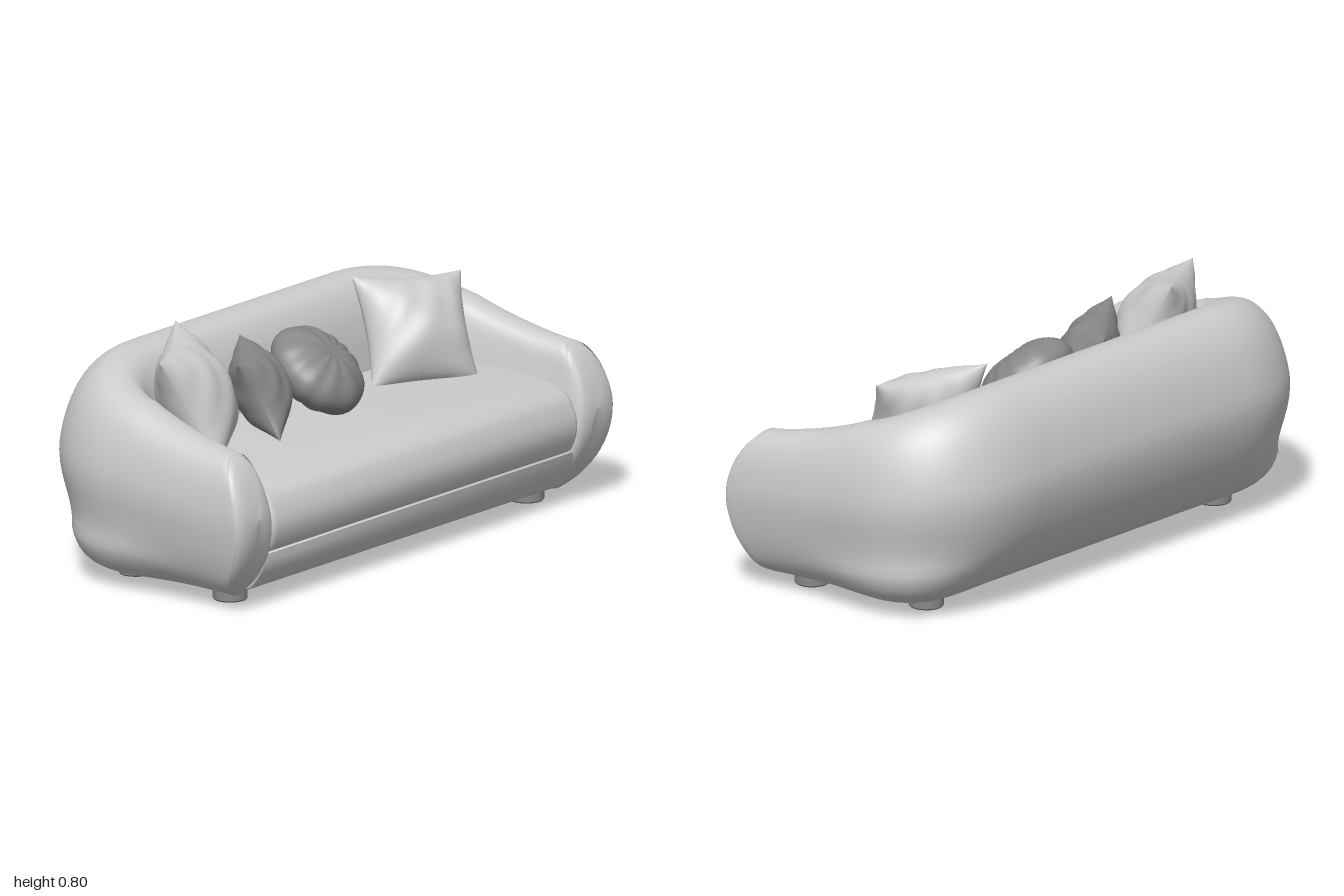
import * as THREE from 'three';
import { mergeGeometries, mergeVertices, toCreasedNormals } from 'three/addons/utils/BufferGeometryUtils.js';

const { lerp, smoothstep } = THREE.MathUtils;
const mat = (color) => new THREE.MeshStandardMaterial({ color, side: THREE.DoubleSide });
const light = mat(0xcccccc);
const dark = mat(0x888888);

function add(parent, name, geometry, material = light) {
  const mesh = new THREE.Mesh(geometry, material);
  mesh.name = name;
  parent.add(mesh);
  return mesh;
}

// Upholstery cross-sections as [distance inwards, height], from the bottom round the outside
const ARM = [[.18, .05], [.10, .055], [.05, .1], [.015, .2], [0, .32], [.01, .42], [.035, .49],
  [.07, .525], [.11, .535], [.145, .525], [.165, .49], [.175, .42], [.19, .3], [.2, .12]];
const BACK = [[.3, .05], [.21, .055], [.1, .15], [.03, .28], [0, .42], [.017, .53], [.06, .64],
  [.12, .71], [.18, .733], [.25, .72], [.29, .68], [.325, .6], [.35, .45], [.36, .2]];
const LOOP = 56;

function loopOf(section, width) {
  const pts = section.map(([d, y]) => new THREE.Vector3(d / width, y, 0));
  return new THREE.CatmullRomCurve3(pts, true).getPoints(LOOP).slice(0, LOOP);
}

// Arms and back: one shell swept round a U between an outer and an inner path
function shellGeometry() {
  const arm = loopOf(ARM, .2), back = loopOf(BACK, .36);
  const ring = (outer, inner, t, bow = 0) => arm.map((p, j) => {
    const y = lerp(p.y, back[j].y, t);
    // the lower edge stays full round the corner
    const fuller = .24 * Math.sin(Math.PI * t * t) * (1 - smoothstep(y, .05, .3));
    const f = lerp(p.x, back[j].x, t) - fuller * (p.x > .2 ? 1 : p.x / .2);
    return new THREE.Vector3(lerp(outer[0], inner[0], f), y,
      lerp(outer[1], inner[1], f) - bow * 1.6 * (y - .3) ** 2);
  });
  const half = [];
  // straight arm with a bowed front end
  for (let i = 0; i < 16; i++) {
    const u = i / 16;
    half.push(ring([1, .46 - .49 * u], [.8 - .07 * u, .46 - .46 * u], .5 * u ** 1.3, 1 - u));
  }
  // rounded corner
  for (let i = 0; i <= 20; i++) {
    const a = (i / 20) * Math.PI / 2;
    const c = Math.max(0, Math.cos(a)) ** .83, s = Math.sin(a) ** .83;
    half.push(ring([.5 + .5 * c, -.03 - .455 * s], [.5 + .23 * c, -.125 * s], .5 + .5 * Math.sin(a)));
  }
  // straight back
  for (let i = 1; i <= 5; i++) {
    const x = .5 * (1 - i / 5);
    half.push(ring([x, -.485], [x, -.125], 1));
  }
  // padded end panel with a slight seam groove
  const first = half[0];
  const mid = first.reduce((m, p) => m.add(p), new THREE.Vector3()).divideScalar(LOOP);
  for (const [s, dz] of [[.97, -.006], [.95, .004], [.88, .013], [.7, .021], [.35, .025], [0, .026]]) {
    half.unshift(first.map((p) => {
      const q = mid.clone().lerp(p, s);
      q.z = .46 - 1.6 * (q.y - .3) ** 2 + dz;
      return q;
    }));
  }
  const mirrored = half.slice(0, -1).reverse()
    .map((r) => r.map((p) => new THREE.Vector3(-p.x, p.y, p.z)));
  const rings = [...half, ...mirrored];

  const index = [];
  for (let i = 0; i < rings.length - 1; i++) {
    for (let j = 0; j < LOOP; j++) {
      const k = (j + 1) % LOOP;
      const a = i * LOOP + j, b = a + LOOP, c = (i + 1) * LOOP + k, d = i * LOOP + k;
      index.push(a, b, c, a, c, d);
    }
  }
  const g = new THREE.BufferGeometry().setFromPoints(rings.flat());
  g.setIndex(index);
  g.computeVertexNormals();
  return g;
}

// Side profile [z, y] extruded across the width, with softened ends
function acrossGeometry(start, curve, end, width, bevel) {
  const shape = new THREE.Shape();
  shape.moveTo(...start);
  shape.lineTo(...curve[0]);
  shape.splineThru(curve.slice(1).map((p) => new THREE.Vector2(...p)));
  shape.lineTo(...end);
  const g = new THREE.ExtrudeGeometry(shape, {
    depth: width - 2 * bevel, curveSegments: 28, bevelThickness: bevel,
    bevelSize: bevel, bevelOffset: -bevel, bevelSegments: 5,
  });
  g.translate(0, 0, -width / 2 + bevel).rotateY(-Math.PI / 2);
  return toCreasedNormals(g, .6);
}

// Flat bottom panel with rounded rear corners
function undersideGeometry() {
  const shape = new THREE.Shape();
  shape.moveTo(-.83, .34);
  shape.absarc(-.7, -.08, .13, Math.PI, Math.PI * 1.5);
  shape.absarc(.7, -.08, .13, Math.PI * 1.5, Math.PI * 2);
  shape.lineTo(.83, .34);
  return new THREE.ExtrudeGeometry(shape, { depth: .025, bevelEnabled: false }).rotateX(Math.PI / 2);
}

// Square cushion: two puffed panels meeting at a pinched seam with pointed corners
function squareCushion(w, h, depth, seed) {
  const panel = (side) => {
    const g = new THREE.PlaneGeometry(2, 2, 32, 32);
    const p = g.attributes.position;
    for (let i = 0; i < p.count; i++) {
      const u = Math.sin(p.getX(i) * Math.PI / 2), v = Math.sin(p.getY(i) * Math.PI / 2);
      const puff = Math.max(0, (1 - u * u) * (1 - v * v));
      const fold = Math.sin(7 * u * v + 5 * u + seed * side) * Math.sin(4 * v - 3 * u + seed);
      p.setXYZ(i, u * w / 2 * (1 - .12 * (1 - v * v)), v * h / 2 * (1 - .09 * (1 - u * u)),
        depth / 2 * puff ** .55 + .007 * fold * Math.sqrt(puff));
    }
    g.computeVertexNormals();
    return side > 0 ? g : g.rotateY(Math.PI);
  };
  return mergeGeometries([panel(1), panel(-1)]);
}

// Round cushion with soft uneven pleats gathered towards the middle
function roundCushion(radius, depth) {
  let g = new THREE.SphereGeometry(1, 64, 32).rotateX(Math.PI / 2);
  g.deleteAttribute('uv');
  g.deleteAttribute('normal');
  g = mergeVertices(g);
  const p = g.attributes.position;
  for (let i = 0; i < p.count; i++) {
    const x = p.getX(i), y = p.getY(i), z = p.getZ(i);
    const r = Math.hypot(x, y), a = Math.atan2(y, x);
    const wave = Math.cos(11 * a + 2 * Math.sin(2 * a));
    const pleat = 1 + .045 * r * wave - .1 * Math.exp(-14 * r * r);
    const rim = 1 + .01 * wave * r;
    p.setXYZ(i, x * radius * rim, y * radius * rim, z * depth / 2 * pleat);
  }
  g.computeVertexNormals();
  return g;
}

export function createModel() {
  const sofa = new THREE.Group();
  sofa.name = 'sofa';

  add(sofa, 'armsAndBack', shellGeometry());
  add(sofa, 'seatCushion', acrossGeometry([-.2, .18],
    [[.41, .18], [.452, .2], [.475, .27], [.463, .335], [.425, .388], [.34, .418], [.15, .435]],
    [-.2, .44], 1.63, .03));
  add(sofa, 'seatBase', acrossGeometry([-.05, .047],
    [[.345, .047], [.385, .06], [.42, .105], [.44, .145], [.447, .185]], [-.05, .19], 1.64, .008));
  add(sofa, 'underside', undersideGeometry()).position.y = .072;

  // Feet: the front pair stands wider than the back pair
  for (const side of [1, -1]) {
    for (const [name, x, z] of [['frontFoot', .785, .272], ['backFoot', .725, -.17]]) {
      const profile = [[0, 0], [.054, 0], [.058, .005], [.058, .07], [0, .07]]
        .map((p) => new THREE.Vector2(...p));
      add(sofa, name, toCreasedNormals(new THREE.LatheGeometry(profile, 32), .6), dark)
        .position.set(side * x, 0, z);
    }
  }

  // Loose cushions: position, then lean, turn and roll
  const cushions = [
    ['rightLargeCushion', squareCushion(.42, .41, .24, 1), light, [-.605, .605, -.01], [-.48, .5, .09]],
    ['rightSmallCushion', squareCushion(.43, .29, .2, 3), dark, [-.308, .572, .02], [-.5, .67, -.03]],
    ['roundCushion', roundCushion(.175, .2), dark, [-.005, .567, .02], [-.87, .25, 0]],
    ['leftCushion', squareCushion(.4, .39, .23, 5), light, [.55, .58, -.005], [-.52, -.42, -.07]],
  ];
  for (const [name, geometry, material, position, [lean, turn, roll]] of cushions) {
    const mesh = add(sofa, name, geometry, material);
    mesh.position.set(...position);
    mesh.rotation.set(lean, turn, roll, 'YXZ');
  }
  return sofa;
}
